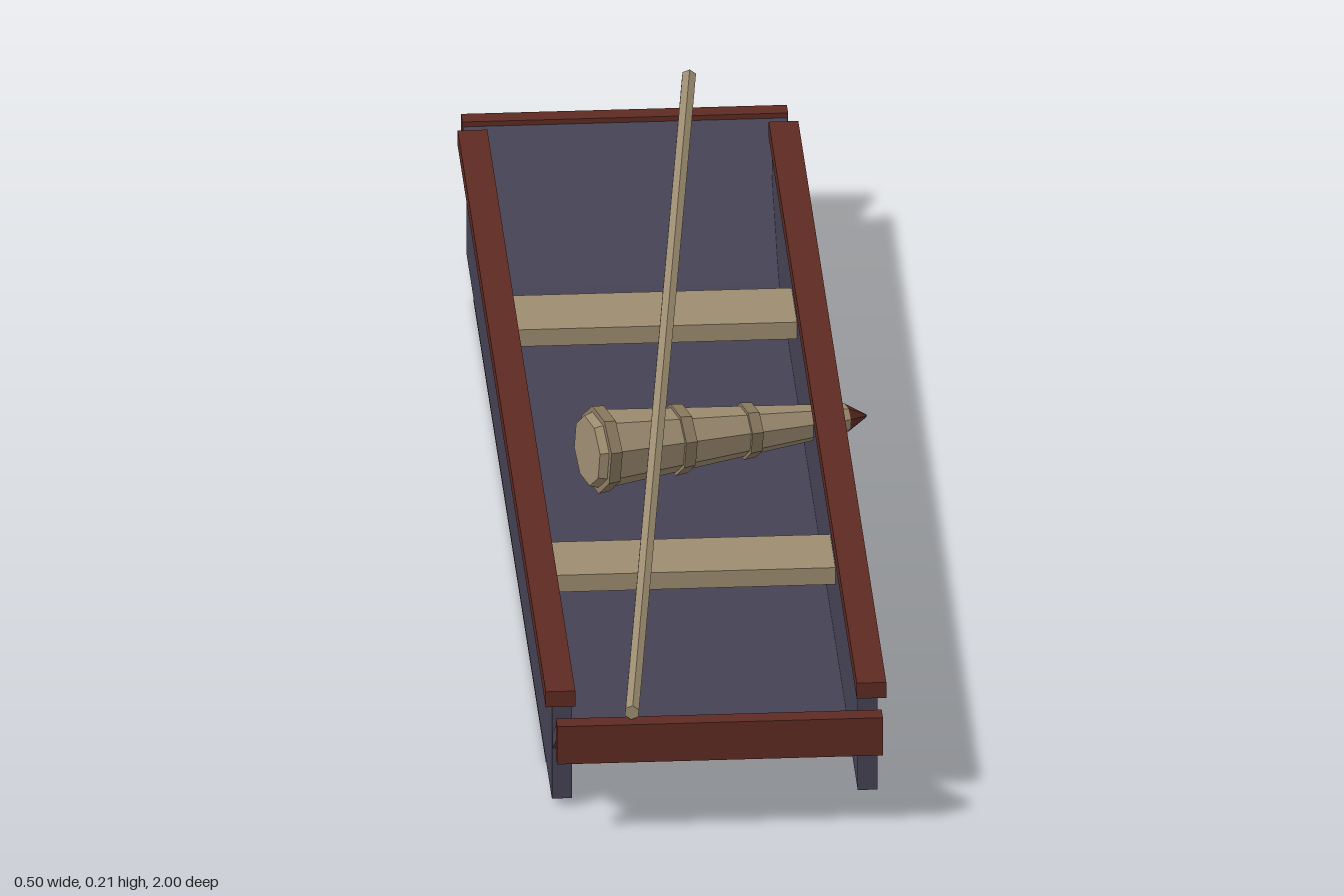
import * as THREE from 'three';

const mat = (color) => new THREE.MeshStandardMaterial({ color, flatShading: true, side: THREE.DoubleSide });

export function createModel() {
  const boat = new THREE.Group();
  boat.name = 'puntBoat';
  const hull = mat(0x454354), trim = mat(0x5e2a22), wood = mat(0x9c8c70), bandWood = mat(0x8a7a60);
  const CX = -0.02, CZ = 0.0175; // hull centre

  const add = (name, geo, material, parent = boat) => {
    const m = new THREE.Mesh(geo, material);
    m.name = name;
    parent.add(m);
    return m;
  };
  // box given by its limits
  const box = (name, x0, x1, y0, y1, z0, z1, material) =>
    add(name, new THREE.BoxGeometry(x1 - x0, y1 - y0, z1 - z0), material)
      .position.set((x0 + x1) / 2, (y0 + y1) / 2, (z0 + z1) / 2);

  box('floor', -0.239, 0.199, 0, 0.02, -0.72, 0.755, hull);

  // side walls and rails
  for (const s of [-1, 1]) {
    const side = s > 0 ? 'left' : 'right';
    const wall = add(side + 'Wall', new THREE.BoxGeometry(0.027, 0.15, 1.752), hull);
    wall.position.set(CX + s * 0.2065, 0.086, CZ);
    const rail = add(side + 'Rail', new THREE.BoxGeometry(0.04, 0.023, 1.8), trim);
    rail.position.set(CX + s * 0.21, 0.1695, CZ);
  }

  // sloping ends with a cross beam each
  for (const s of [-1, 1]) {
    const end = s > 0 ? 'front' : 'back';
    const profile = [[0.7375, 0], [0.96, 0.138], [0.96, 0.162], [0.7375, 0.02]];
    const shape = new THREE.Shape(profile.map(([z, y]) => new THREE.Vector2(CZ + s * z, y)));
    const ramp = new THREE.ExtrudeGeometry(shape, { depth: 0.438, bevelEnabled: false });
    ramp.rotateY(-Math.PI / 2).translate(0.199, 0, 0);
    add(end + 'Ramp', ramp, hull);
    const beam = add(end + 'Beam', new THREE.BoxGeometry(0.44, 0.056, 0.026), trim);
    beam.position.set(CX, 0.139, CZ + s * 0.9695);
  }

  // seats
  box('frontSeat', -0.215, 0.175, 0.105, 0.13, 0.33, 0.437, wood);
  box('backSeat', -0.215, 0.175, 0.105, 0.13, -0.46, -0.35, wood);

  // turns a y-axis geometry so it runs from a along b - a
  const aim = (obj, a, b) => {
    obj.position.copy(a);
    obj.quaternion.setFromUnitVectors(new THREE.Vector3(0, 1, 0), b.clone().sub(a).normalize());
  };

  // long pole lying across the boat
  const p0 = new THREE.Vector3(-0.138, 0.178, 0.985), p1 = new THREE.Vector3(0.07, 0.197, -1);
  const length = p0.distanceTo(p1);
  const pole = add('pole', new THREE.CylinderGeometry(0.0105, 0.0105, length, 6).translate(0, length / 2, 0), wood);
  aim(pole, p0, p1);

  // tapered banded barrel with a pointed tip through the wall
  const spike = new THREE.Group();
  spike.name = 'taperedBarrel';
  boat.add(spike);
  const taper = (name, y0, y1, r0, r1, material) =>
    add(name, new THREE.CylinderGeometry(r1, r0, y1 - y0, 8).translate(0, (y0 + y1) / 2, 0), material, spike);
  taper('barrelEnd', 0, 0.02, 0.048, 0.054, wood);
  taper('barrelBody', 0.02, 0.375, 0.054, 0.02, wood);
  for (const [y, r] of [[0.012, 0.06], [0.125, 0.049], [0.225, 0.039]])
    taper('barrelBand', y, y + 0.017, r, r - 0.002, bandWood);
  taper('barrelTip', 0.375, 0.405, 0.02, 0.002, trim);
  aim(spike, new THREE.Vector3(-0.138, 0.142, 0.068), new THREE.Vector3(0.247, 0.125, -0.056));

  return boat;
}
